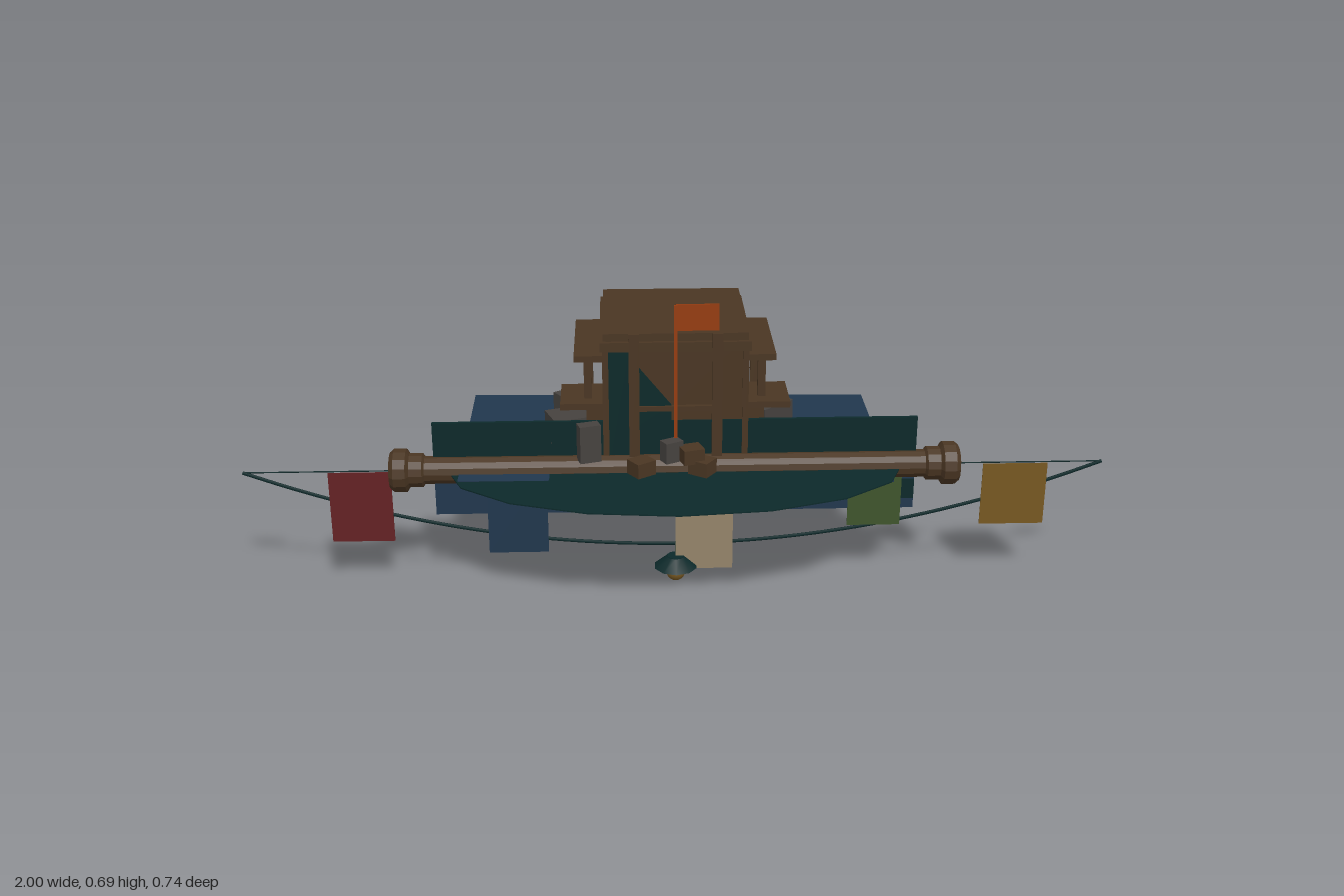
import * as THREE from 'three';

const mat = (name, color, side = THREE.FrontSide) => {
  const m = new THREE.MeshStandardMaterial({ color, side, flatShading: false });
  m.name = name;
  return m;
};

export function createModel() {
  const D = THREE.DoubleSide;
  const M = {
    wood: mat('wood brown', 0x4a3623),
    teal: mat('dark teal', 0x0c292a, D),
    blue: mat('slate blue', 0x21374d, D),
    red: mat('flag red', 0x642224, D),
    gold: mat('gold', 0x775822, D),
    green: mat('flag green', 0x3f552c, D),
    cream: mat('cream', 0x94846a, D),
    orange: mat('orange', 0x963c10, D),
    stone: mat('stone grey', 0x46423f),
  };
  const root = new THREE.Group();

  const add = (name, geo, material, x = 0, y = 0, z = 0, parent = root) => {
    const m = new THREE.Mesh(geo, material);
    m.name = name;
    m.position.set(x, y, z);
    parent.add(m);
    return m;
  };
  // box given by its lower and upper limits on each axis
  const box = (name, material, [x0, x1], [y0, y1], [z0, z1], parent = root) =>
    add(name, new THREE.BoxGeometry(x1 - x0, y1 - y0, z1 - z0), material,
      (x0 + x1) / 2, (y0 + y1) / 2, (z0 + z1) / 2, parent);
  // flat outline in the xy plane
  const plate = (name, material, pts, z) =>
    add(name, new THREE.ShapeGeometry(new THREE.Shape(pts.map(p => new THREE.Vector2(...p)))), material, 0, 0, z);

  // Deck: sixteen-sided oval and a slightly tilted rectangular sheet
  const oval = add('ovalDeck', new THREE.CylinderGeometry(1, 1, 0.003, 16), M.teal, 0, 0.292, 0.1);
  oval.scale.set(0.53, 1, 0.265);
  oval.rotation.y = 0;
  const sheet = add('rearDeck', new THREE.BoxGeometry(1, 0.006, 0.54), M.blue, 0, 0.287, -0.1);
  sheet.rotation.z = -0.012;

  // Upright board running along the beam
  box('upperBoard', M.teal, [-0.56, 0.56], [0.29, 0.41], [0.092, 0.101]);
  box('lowerBoard', M.blue, [-0.56, 0.56], [0.18, 0.29], [0.092, 0.1]);
  plate('lowerBoardPatch', M.teal,
    [[-0.25, 0.255], [0, 0.217], [0.3, 0.205], [0.56, 0.205], [0.56, 0.255]], 0.1015);

  // Round beam with stepped end caps
  const r = [[0, -0.66], [0.042, -0.66], [0.051, -0.65], [0.051, -0.622], [0.04, -0.615], [0.04, -0.585], [0.033, -0.58]];
  const profile = [...r, ...r.slice().reverse().map(([a, b]) => [a, -b])];
  const beamGeo = new THREE.LatheGeometry(profile.map(p => new THREE.Vector2(...p)), 14).toNonIndexed();
  beamGeo.computeVertexNormals();
  add('beam', beamGeo, M.wood, 0, 0.294, 0.1).rotation.z = Math.PI / 2;

  // Straight line and sagging rope
  const line = add('straightLine', new THREE.CylinderGeometry(0.0015, 0.0015, 2, 6), M.teal, 0, 0.293, 0.1);
  line.rotation.z = Math.PI / 2;
  const sag = Array.from({ length: 21 }, (_, i) => {
    const x = -1 + i / 10;
    return new THREE.Vector3(x, 0.095 + 0.198 * x * x, 0.1);
  });
  add('saggingRope', new THREE.TubeGeometry(new THREE.CatmullRomCurve3(sag), 48, 0.004, 6), M.teal);

  // Hanging flags
  [['redFlag', M.red, -0.805, -0.66, 0.115], ['blueFlag', M.blue, -0.44, -0.3, 0.08],
    ['creamFlag', M.cream, 0, 0.135, 0.03], ['greenFlag', M.green, 0.405, 0.53, 0.138],
    ['goldFlag', M.gold, 0.72, 0.872, 0.136]].forEach(([n, m, x0, x1, y0]) =>
    box(n, m, [x0, x1], [y0, 0.291], [0.1025, 0.1045]));

  // Hanging bell shade and ball
  add('bellShade', new THREE.CylinderGeometry(0.021, 0.052, 0.026, 10, 1, true), M.teal, 0, 0.05, 0.102);
  add('bellTop', new THREE.CylinderGeometry(0.021, 0.021, 0.002, 10), M.teal, 0, 0.063, 0.102);
  add('bellBall', new THREE.SphereGeometry(0.023, 16, 12), M.gold, 0, 0.023, 0.102);
  box('bellCord', M.teal, [-0.002, 0.002], [0.063, 0.1], [0.1, 0.103]);

  // Cabin with roof bands and base trim
  const cabin = new THREE.Group();
  cabin.name = 'cabin';
  root.add(cabin);
  box('cabinBody', M.wood, [-0.158, 0.158], [0.293, 0.61], [-0.228, 0.098], cabin);
  box('roofBand', M.wood, [-0.172, 0.172], [0.58, 0.602], [-0.237, 0.108], cabin);
  box('roofTop', M.wood, [-0.165, 0.165], [0.605, 0.622], [-0.23, 0.104], cabin);
  box('baseTrim', M.wood, [-0.165, 0.165], [0.305, 0.335], [-0.237, -0.04], cabin);
  for (const x of [-0.095, 0.095])
    box('frontPost', M.wood, [x - 0.012, x + 0.012], [0.3, 0.622], [0.095, 0.112], cabin);
  for (const x of [-0.16, 0.16])
    box('cornerPost', M.wood, [x - 0.007, x + 0.007], [0.3, 0.58], [0.09, 0.103], cabin);
  box('frontRail', M.wood, [-0.095, 0.095], [0.435, 0.447], [0.098, 0.108], cabin);
  box('frontPanel', M.teal, [-0.153, -0.107], [0.3, 0.58], [0.098, 0.104], cabin);
  plate('frontPatch', M.teal, [[-0.083, 0.4], [-0.01, 0.4], [-0.01, 0.45], [-0.083, 0.54]], 0.1025);

  // Side shelves, posts and cupboards on both sides
  for (const s of [-1, 1]) {
    const side = (name, x0, x1, y, z) =>
      box(name, M.wood, s > 0 ? [x0, x1] : [-x1, -x0], y, z, cabin);
    side('upperShelf', 0.15, 0.232, [0.542, 0.557], [-0.196, 0.068]);
    side('lowerShelf', 0.15, 0.265, [0.432, 0.447], [-0.046, 0.085]);
    side('frontShelfPost', 0.192, 0.21, [0.447, 0.542], [0.034, 0.05]);
    side('rearShelfPost', 0.192, 0.21, [0.293, 0.542], [-0.178, -0.162]);
    side('cupboard', 0.15, 0.205, [0.3, 0.432], [-0.037, 0.08]);
  }

  // Mast and pennant
  box('mast', M.orange, [-0.004, 0.004], [0.3, 0.69], [0.105, 0.112]);
  box('pennant', M.orange, [0, 0.098], [0.628, 0.69], [0.1, 0.104]);

  // Stones on the sides and front: position, size, turn
  [[0.215, 0.345, -0.085, 0.1, 0.085, 0.11, 0.75], [-0.225, 0.35, -0.09, 0.09, 0.11, 0.09, 0.6],
    [-0.25, 0.34, 0.0, 0.09, 0.1, 0.08, 0.35], [-0.29, 0.325, 0.05, 0.075, 0.07, 0.07, 0.9],
    [-0.2, 0.365, 0.118, 0.05, 0.09, 0.03, 0.3], [-0.01, 0.345, 0.125, 0.045, 0.05, 0.03, 0.5]]
    .forEach(([x, y, z, w, h, d, t]) => {
      add('stone', new THREE.BoxGeometry(w, h, d), M.stone, x, y, z).rotation.y = t;
    });

  // Small turned blocks resting on the beam
  [[-0.08, 0.312, 0.14, 0.6], [0.06, 0.312, 0.14, -0.6], [0.035, 0.34, 0.135, 0.3]].forEach(([x, y, z, t]) => {
    add('beamBlock', new THREE.BoxGeometry(0.05, 0.035, 0.045), M.wood, x, y, z).rotation.y = t;
  });

  return root;
}
